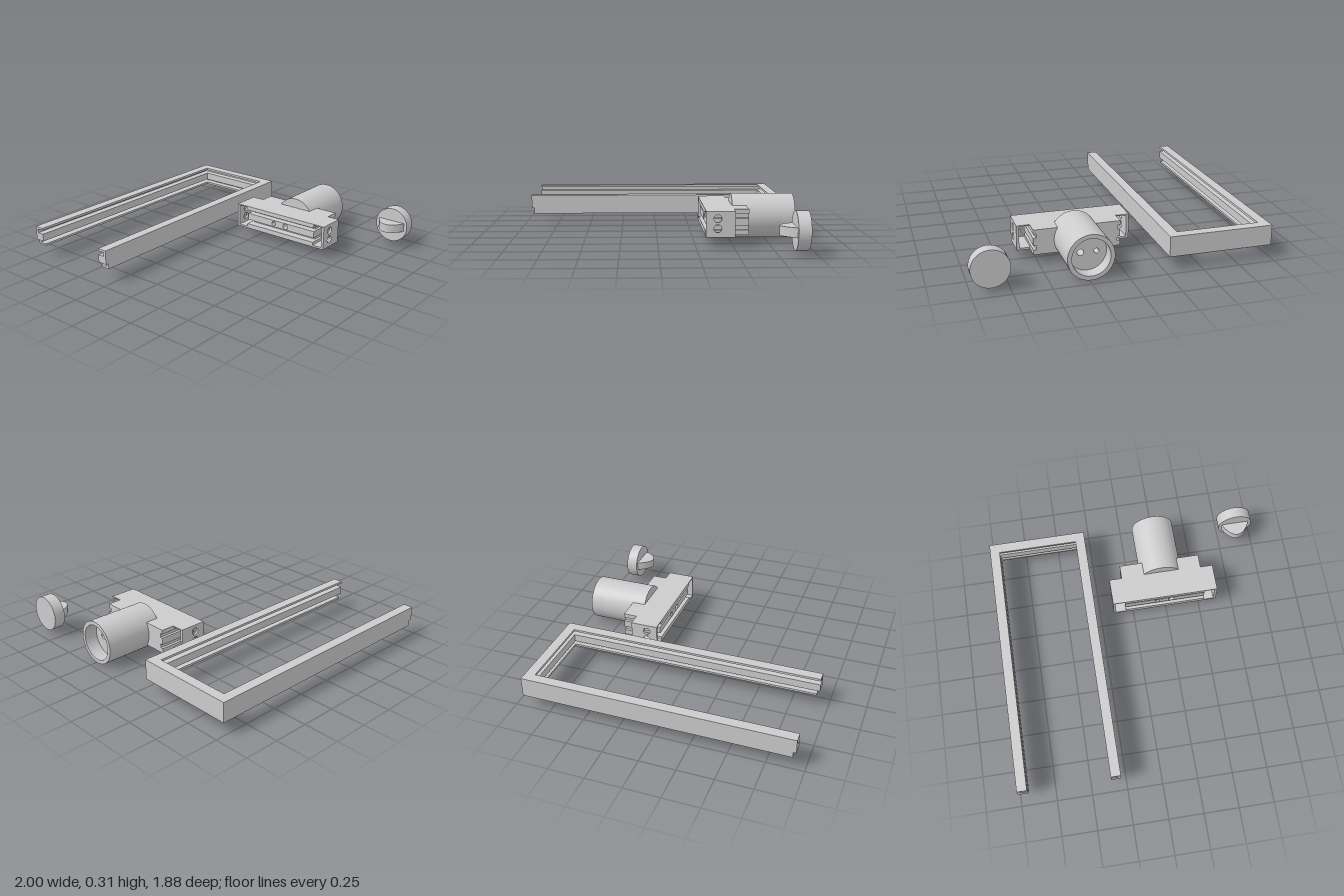
import * as THREE from 'three';
import { toCreasedNormals } from 'three/addons/utils/BufferGeometryUtils.js';

const CY = 0.155; // height of the common axis
const CX = 0.24;  // centre of the slider

export function createModel() {
  const model = new THREE.Group();
  const material = new THREE.MeshStandardMaterial({ color: 0xcccccc });

  function add(parent, name, geometry) {
    const mesh = new THREE.Mesh(toCreasedNormals(geometry, 0.5), material);
    mesh.name = name;
    parent.add(mesh);
    return mesh;
  }
  function group(name) {
    const g = new THREE.Group();
    g.name = name;
    model.add(g);
    return g;
  }
  // Box given by its limits
  function box(parent, name, x0, x1, y0, y1, z0, z1) {
    const g = new THREE.BoxGeometry(x1 - x0, y1 - y0, z1 - z0);
    g.translate((x0 + x1) / 2, (y0 + y1) / 2, (z0 + z1) / 2);
    return add(parent, name, g);
  }
  const polygon = (pts) => new THREE.Shape(pts.map(([x, y]) => new THREE.Vector2(x, y)));
  const rect = (x0, x1, y0, y1) => polygon([[x0, y0], [x1, y0], [x1, y1], [x0, y1]]);
  const disc = (x, y, r) => new THREE.Shape().absarc(x, y, r, 0, Math.PI * 2);
  function pierce(shape, circles) {
    for (const [x, y, r] of circles) shape.holes.push(new THREE.Path().absarc(x, y, r, 0, Math.PI * 2, true));
    return shape;
  }
  const extrude = (shape, depth) =>
    new THREE.ExtrudeGeometry(shape, { depth, bevelEnabled: false, curveSegments: 32 });
  const extrudeZ = (shape, z0, z1) => extrude(shape, z1 - z0).translate(0, 0, z0);
  // Plan shape drawn as (x, -z), raised from y0 to y1
  const extrudeY = (shape, y0, y1) => extrude(shape, y1 - y0).rotateX(-Math.PI / 2).translate(0, y0, 0);

  // U-shaped rail: thin outer wall with three inward flanges
  const rail = group('railFrame');
  const uLayer = (name, width, y0, y1, front) => {
    const a = -1, b = -0.285, back = 0.94;
    add(rail, name, extrudeY(polygon([
      [a, -front], [a + width, -front], [a + width, back - width], [b - width, back - width],
      [b - width, -front], [b, -front], [b, back], [a, back],
    ]), y0, y1));
  };
  uLayer('bottomFlange', 0.07, 0.09, 0.105, 0.92);
  uLayer('lowerWall', 0.02, 0.105, 0.13, 0.92);
  uLayer('middleFlange', 0.07, 0.13, 0.185, 0.94);
  uLayer('upperWall', 0.02, 0.185, 0.214, 0.94);
  uLayer('topFlange', 0.07, 0.214, 0.23, 0.94);

  // Slider body: core, cover plates, side plates and front ridge
  const slider = group('slider');
  const pins = [[0.18, CY, 0.017], [0.285, CY, 0.022]];
  const coreL = -0.058, coreR = 0.535, y0 = 0.065, y1 = 0.24;
  add(slider, 'core', extrudeZ(pierce(rect(coreL + 0.02, coreR - 0.02, y0, y1), pins), -0.61, -0.375));
  add(slider, 'frontRidge', extrudeZ(pierce(rect(coreL, coreR, 0.13, 0.18), pins), -0.375, -0.325));
  for (const [name, a, b] of [['bottomPlate', y0, 0.079], ['topPlate', 0.232, y1]])
    box(slider, name, -0.15, 0.625, a, b, -0.51, -0.315);
  for (const [name, a, b] of [['bottomLip', 0.079, 0.1], ['topLip', 0.21, 0.232]])
    box(slider, name, coreL, coreR, a, b, -0.375, -0.315);
  // Ridges on both flanks of the core
  for (const [a, b] of [[y0, 0.1], [0.13, 0.18], [0.21, y1]])
    for (const x of [coreL, coreR - 0.02]) box(slider, 'flankRidge', x, x + 0.02, a, b, -0.61, -0.375);
  // Side plates, each with two screw holes
  for (const x of [-0.15, 0.607]) {
    const plate = pierce(rect(0.315, 0.51, y0, y1), [[0.393, 0.19, 0.026], [0.393, 0.124, 0.026]]);
    add(slider, 'sidePlate', extrude(plate, 0.018).rotateY(Math.PI / 2).translate(x, 0, 0));
  }

  // Round socket behind the slider, open to the back
  add(slider, 'socketBase', extrudeZ(pierce(disc(CX, CY, 0.155), pins), -0.85, -0.515));
  add(slider, 'socketRim', extrudeZ(pierce(disc(CX, CY, 0.155), [[CX, CY, 0.127]]), -0.945, -0.85));

  // Loose plug with a rounded grip
  const plug = group('plug');
  add(plug, 'plugDisc', extrudeZ(disc(0.872, CY, 0.126), -0.938, -0.856));
  const grip = new THREE.Shape();
  grip.moveTo(0.77, 0.858);
  grip.bezierCurveTo(0.79, 0.8, 0.835, 0.757, 0.872, 0.757);
  grip.bezierCurveTo(0.909, 0.757, 0.954, 0.8, 0.974, 0.858);
  grip.closePath();
  add(plug, 'plugGrip', extrudeY(grip, 0.126, 0.188));

  return model;
}
